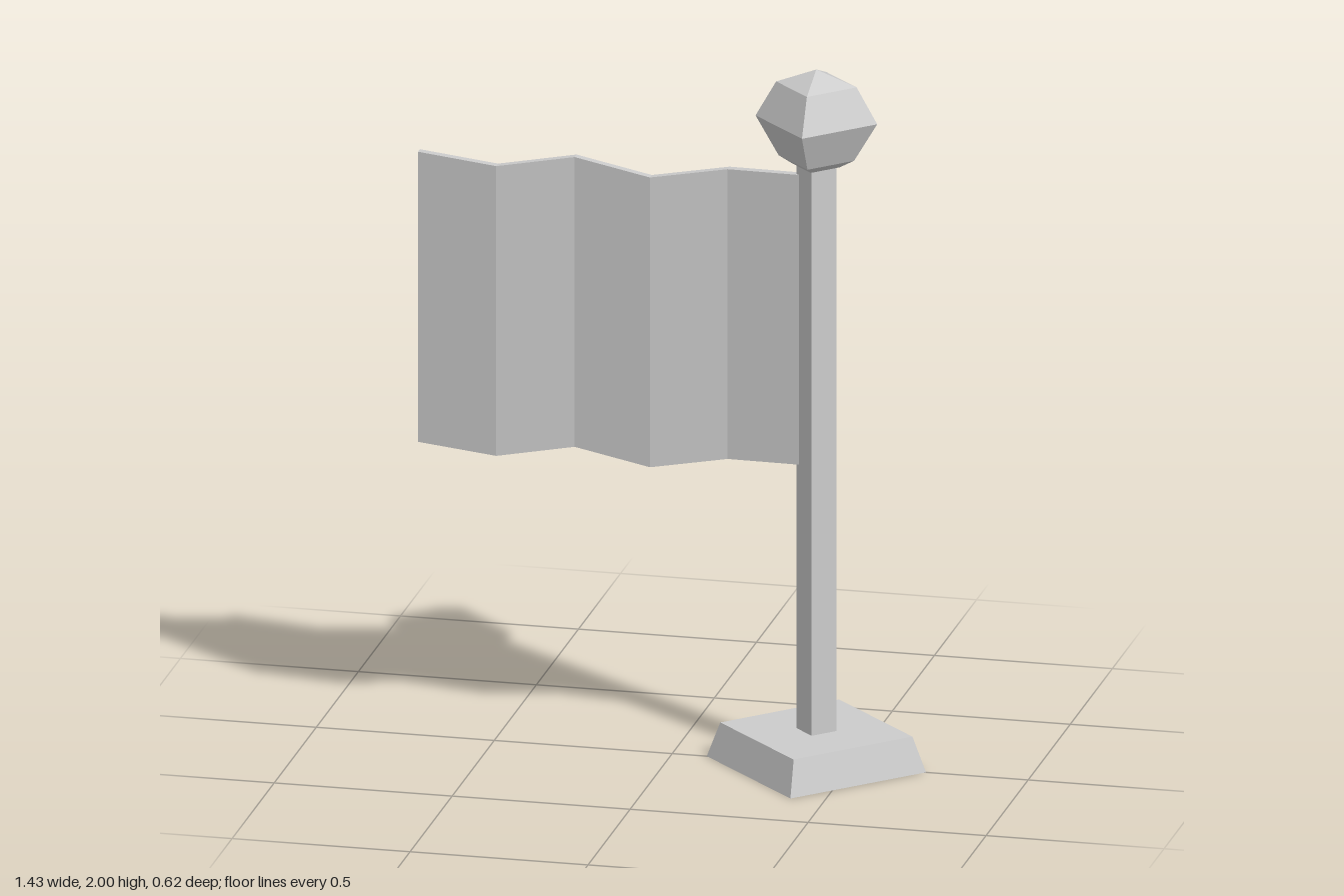
import * as THREE from 'three';

const material = new THREE.MeshStandardMaterial({ color: 0xcccccc, flatShading: true });
const POLE_X = 0.405;

function addPart(group, name, geometry, x = 0, y = 0) {
  const mesh = new THREE.Mesh(geometry, material);
  mesh.name = name;
  mesh.position.set(x, y, 0);
  group.add(mesh);
}

// Waving cloth: a box split along x, its columns shifted to the wave stations
function flagGeometry() {
  // each station: x, z of the middle, bottom y, top y
  const stations = [
    [-0.72, -0.036, 0.835, 1.67],
    [-0.492, -0.001, 0.823, 1.657],
    [-0.28, -0.036, 0.854, 1.688],
    [-0.06, -0.001, 0.823, 1.657],
    [0.15, -0.035, 0.852, 1.686],
    [0.37, -0.001, 0.862, 1.696],
  ];
  const thickness = 0.023;
  const spans = stations.length - 1;
  const geometry = new THREE.BoxGeometry(1, 1, 1, spans, 1, 1);
  const p = geometry.attributes.position;
  for (let i = 0; i < p.count; i++) {
    const [x, z, low, high] = stations[Math.round((p.getX(i) + 0.5) * spans)];
    p.setXYZ(i, x, p.getY(i) > 0 ? high : low, z + p.getZ(i) * thickness);
  }
  geometry.computeVertexNormals();
  return geometry;
}

export function createModel() {
  const group = new THREE.Group();
  group.name = 'flagOnPole';

  // Square tapered foot and square pole, both with corners on the axes
  addPart(group, 'base', new THREE.CylinderGeometry(0.27, 0.308, 0.1, 4), POLE_X, 0.05);
  addPart(group, 'pole', new THREE.CylinderGeometry(0.056, 0.056, 1.66, 4), POLE_X, 0.91);

  // Four-sided faceted knob on top
  const profile = [[0, 1.723], [0.065, 1.723], [0.106, 1.745], [0.171, 1.855], [0.113, 1.957], [0, 2]];
  const points = profile.map(([r, y]) => new THREE.Vector2(r, y));
  addPart(group, 'finial', new THREE.LatheGeometry(points, 4), POLE_X);

  addPart(group, 'flag', flagGeometry());
  return group;
}
